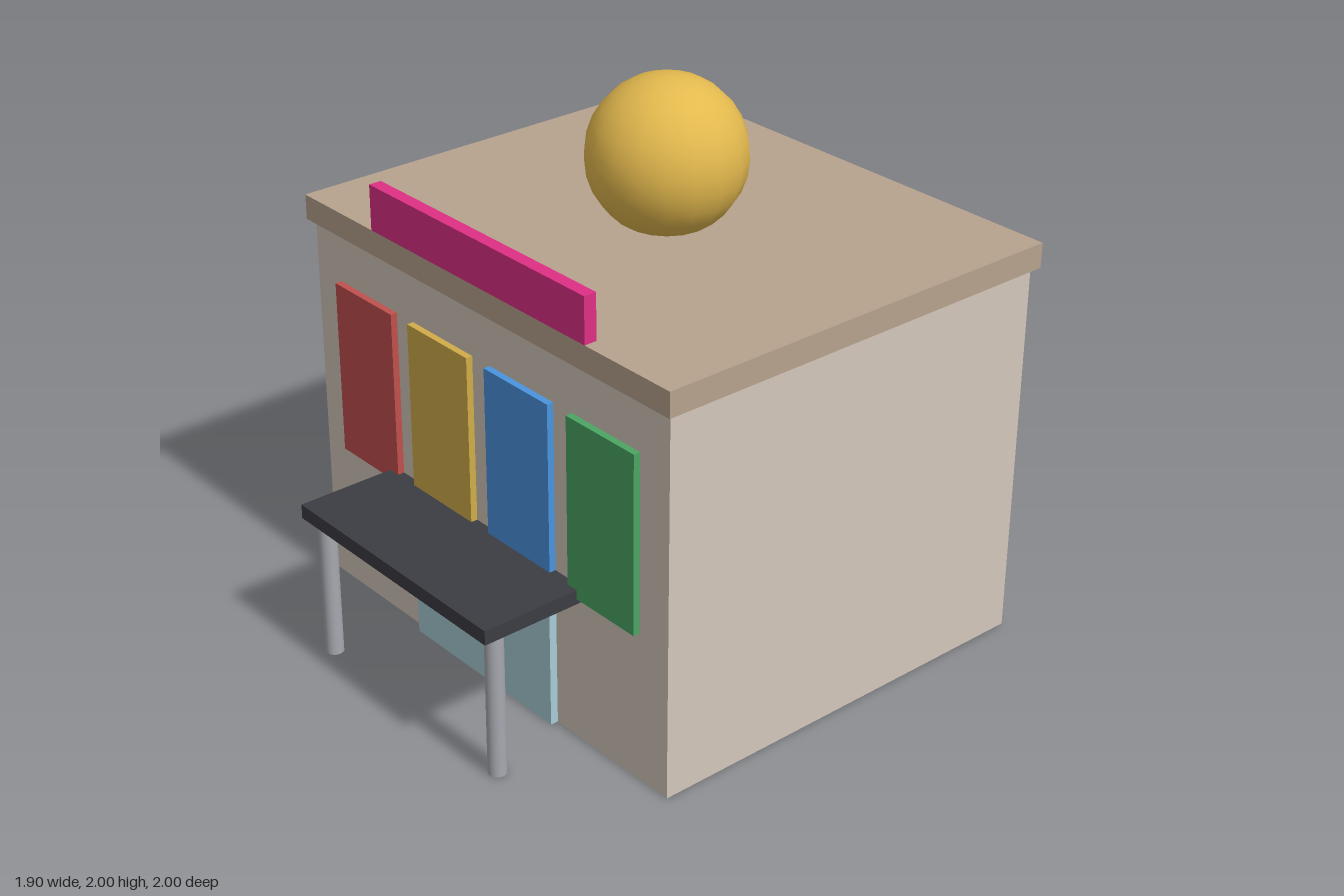
import * as THREE from 'three';

const material = (color) => new THREE.MeshStandardMaterial({ color });

// Box given by its extents along each axis
function box(name, color, [x0, x1], [y0, y1], [z0, z1]) {
  const mesh = new THREE.Mesh(new THREE.BoxGeometry(x1 - x0, y1 - y0, z1 - z0), material(color));
  mesh.position.set((x0 + x1) / 2, (y0 + y1) / 2, (z0 + z1) / 2);
  mesh.name = name;
  return mesh;
}

export function createModel() {
  const model = new THREE.Group();
  model.name = 'shop';
  const wallFront = 0.605;

  // Building shell and overhanging roof slab
  model.add(box('walls', 0xd3c7bb, [-0.928, 0.928], [0, 1.397], [-0.977, wallFront]));
  model.add(box('roof', 0xb8a38e, [-0.951, 0.951], [1.397, 1.488], [-1, 0.628]));

  // Blank sign board on the front edge of the roof
  model.add(box('signBoard', 0xde2f85, [-0.558, 0.558], [1.488, 1.653], [0.581, 0.628]));

  // Row of coloured panels on the front wall
  const panels = new THREE.Group();
  panels.name = 'frontPanels';
  [0xc0504d, 0xd0ac48, 0x4a94de, 0x4aa563].forEach((color, i) => {
    const x = -0.628 + i * 0.4187;
    panels.add(box(`panel${i + 1}`, color, [x - 0.163, x + 0.163], [0.56, 1.21], [wallFront - 0.01, 0.63]));
  });
  model.add(panels);

  // Glass entrance
  model.add(box('glassDoor', 0xa8ccd6, [-0.373, 0.373], [0, 0.466], [wallFront - 0.01, 0.634]));

  // Porch canopy on two round posts
  model.add(box('canopy', 0x3c3d44, [-0.511, 0.511], [0.541, 0.594], [wallFront - 0.005, 1]));
  for (const side of [-1, 1]) {
    const post = new THREE.Mesh(new THREE.CylinderGeometry(0.0325, 0.0325, 0.541, 16), material(0xa6a9b0));
    post.position.set(side * 0.465, 0.2705, 0.931);
    post.name = side > 0 ? 'leftPost' : 'rightPost';
    model.add(post);
  }

  // Golden ball sunk slightly into the roof
  const ball = new THREE.Mesh(new THREE.SphereGeometry(0.279, 18, 14), material(0xe3b94e));
  ball.position.set(0, 1.721, -0.187);
  ball.name = 'roofBall';
  model.add(ball);

  return model;
}
